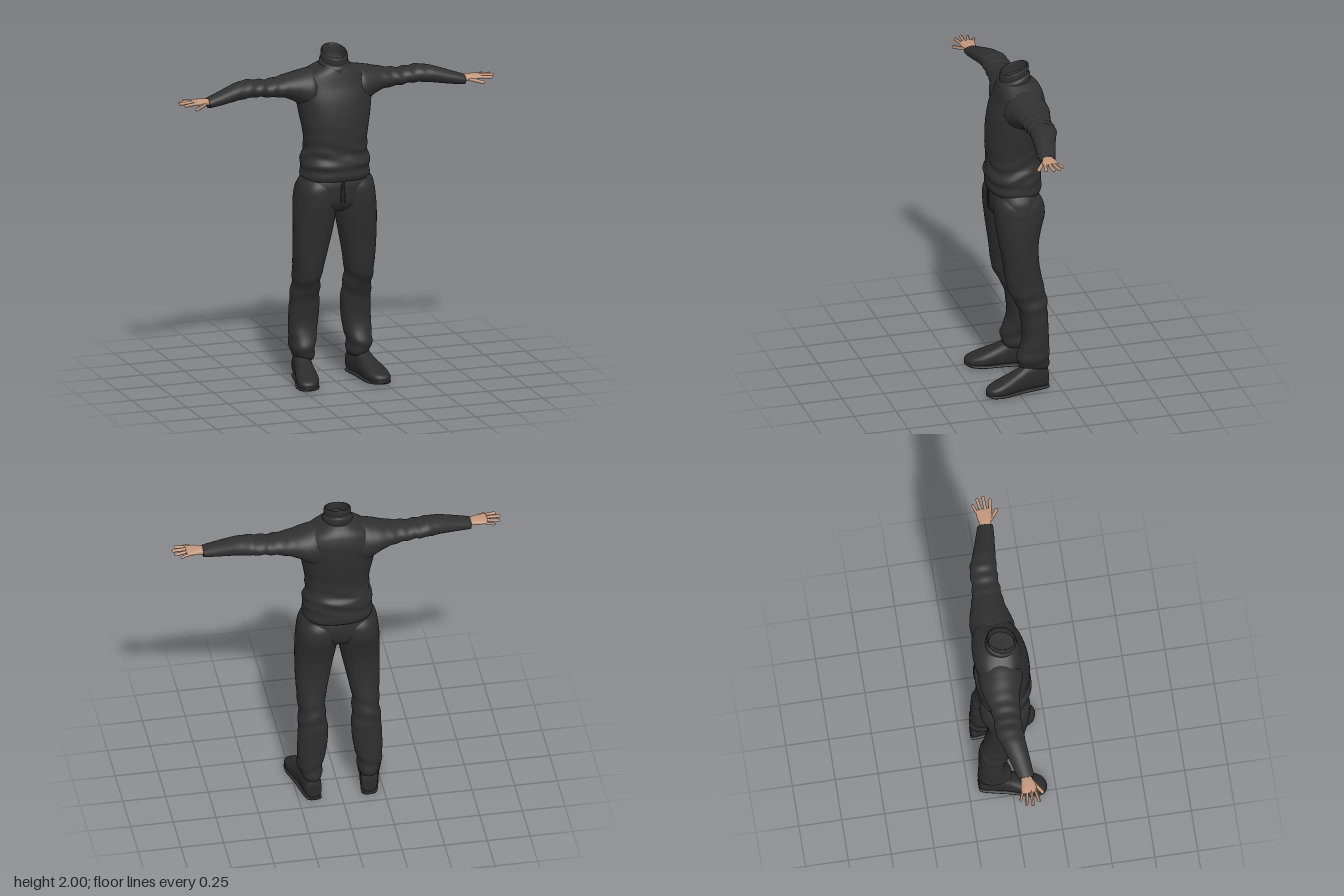
import * as THREE from 'three';

const mat = (name, color) => Object.assign(new THREE.MeshStandardMaterial({ color }), { name });

// smooth interpolation between rows of section numbers
function sample(rows, u) {
  const n = rows.length - 1, i = Math.min(Math.floor(u), n - 1), f = u - i;
  const r = k => rows[Math.max(0, Math.min(n, k))];
  return rows[i].map((_, c) => {
    const [a, b, d, e] = [r(i - 1)[c], r(i)[c], r(i + 1)[c], r(i + 2)[c]];
    return b + 0.5 * f * (d - a + f * (2 * a - 5 * b + 4 * d - e + f * (3 * (b - d) + e - a)));
  });
}

// Skin rows of [position, aMin, aMax, bMin, bMax] along an axis.
// Cross-section axes (a, b): y -> (x, z), x -> (z, y), z -> (y, x)
function loft(rows, axis, { power = 2, steps = 6, seg = 40, fold = () => 0, bend = null, caps = true } = {}) {
  const pos = [], idx = [], count = (rows.length - 1) * steps;
  const order = { y: (t, a, b) => [a, t, b], x: (t, a, b) => [t, b, a], z: (t, a, b) => [b, a, t] }[axis];
  const put = (t, a, b) => {
    const p = new THREE.Vector3(...order(t, a, b));
    if (bend) bend(p);
    pos.push(p.x, p.y, p.z);
  };
  const curve = v => Math.sign(v) * Math.abs(v) ** (2 / power);
  for (let i = 0; i <= count; i++) {
    const [t, a0, a1, b0, b1] = sample(rows, i / steps);
    for (let j = 0; j < seg; j++) {
      const q = j / seg * Math.PI * 2, w = fold(t, q);
      put(t, (a0 + a1) / 2 + ((a1 - a0) / 2 + w) * curve(Math.cos(q)),
        (b0 + b1) / 2 + ((b1 - b0) / 2 + w) * curve(Math.sin(q)));
    }
  }
  for (let i = 0; i < count; i++) for (let j = 0; j < seg; j++) {
    const a = i * seg + j, b = i * seg + (j + 1) % seg;
    idx.push(a, a + seg, b, b, a + seg, b + seg);
  }
  if (caps) [0, count].forEach(i => {
    const [t, a0, a1, b0, b1] = rows[i ? rows.length - 1 : 0], c = pos.length / 3;
    put(t, (a0 + a1) / 2, (b0 + b1) / 2);
    for (let j = 0; j < seg; j++) {
      const a = i * seg + j, b = i * seg + (j + 1) % seg;
      idx.push(c, ...(i ? [b, a] : [a, b]));
    }
  });
  const g = new THREE.BufferGeometry();
  g.setAttribute('position', new THREE.Float32BufferAttribute(pos, 3));
  g.setIndex(idx);
  g.computeVertexNormals();
  return g;
}

// mirrored copy across x = 0 with the corner order restored
function mirror(geo) {
  const g = geo.clone().scale(-1, 1, 1), ix = g.index.array;
  for (let i = 0; i < ix.length; i += 3) [ix[i], ix[i + 1]] = [ix[i + 1], ix[i]];
  g.computeVertexNormals();
  return g;
}

// rounded finger between two points
function finger(from, to, r) {
  const a = new THREE.Vector3(...from), b = new THREE.Vector3(...to), d = b.clone().sub(a);
  const g = new THREE.CapsuleGeometry(r, d.length() - r, 5, 10);
  g.applyQuaternion(new THREE.Quaternion().setFromUnitVectors(new THREE.Vector3(0, 1, 0), d.normalize()));
  return g.translate(...a.add(b).multiplyScalar(0.5).toArray());
}

export function createModel() {
  const model = new THREE.Group();
  const knit = mat('sweater black', 0x303030), cloth = mat('trouser black', 0x2e2e2e);
  const leather = mat('shoe black', 0x2b2b2b), skin = mat('skin', 0xc2977d);
  const add = (name, geo, material) => {
    const m = new THREE.Mesh(geo, material);
    m.name = name;
    model.add(m);
  };
  const pair = (name, geo, material) => {
    add('left' + name, geo, material);
    add('right' + name, mirror(geo), material);
  };

  // sweater body with hem band and waist folds
  add('sweaterBody', loft([
    [1.225, -0.2, 0.2, -0.175, 0.125], [1.25, -0.204, 0.204, -0.182, 0.134],
    [1.285, -0.2, 0.2, -0.18, 0.132], [1.32, -0.204, 0.204, -0.178, 0.14],
    [1.37, -0.194, 0.194, -0.182, 0.125], [1.41, -0.185, 0.185, -0.162, 0.127],
    [1.5, -0.19, 0.19, -0.162, 0.132], [1.6, -0.208, 0.208, -0.18, 0.127],
    [1.7, -0.222, 0.222, -0.194, 0.11], [1.78, -0.22, 0.22, -0.2, 0.085],
    [1.84, -0.185, 0.185, -0.186, 0.07], [1.875, -0.125, 0.125, -0.165, 0.06],
    [1.9, -0.08, 0.08, -0.135, 0.045],
  ], 'y', {
    power: 2.3, seg: 56,
    fold: (t, q) => 0.004 * Math.exp(-(((t - 1.38) / 0.09) ** 2)) * Math.sin(75 * t + 3 * Math.sin(2 * q)),
  }), knit);

  // rolled collar, open at the top and tilted forward
  add('collar', loft([
    [1.86, -0.082, 0.082, -0.125, 0.06], [1.885, -0.088, 0.088, -0.127, 0.065],
    [1.91, -0.086, 0.086, -0.124, 0.062], [1.921, -0.077, 0.077, -0.115, 0.053],
    [1.94, -0.079, 0.079, -0.118, 0.056], [1.962, -0.077, 0.077, -0.117, 0.056],
    [1.969, -0.072, 0.072, -0.112, 0.051], [1.962, -0.066, 0.066, -0.106, 0.045],
    [1.91, -0.063, 0.063, -0.102, 0.042],
  ], 'y', { bend: p => { p.y -= 0.33 * (p.z + 0.03); } }), knit);

  // sleeves, from shoulder to cuff
  pair('Sleeve', loft([
    [0.09, -0.175, 0.05, 1.6, 1.875], [0.15, -0.188, 0.07, 1.62, 1.872],
    [0.2, -0.186, 0.06, 1.655, 1.862], [0.25, -0.176, 0.042, 1.69, 1.85],
    [0.31, -0.16, 0.028, 1.712, 1.836], [0.39, -0.142, 0.02, 1.722, 1.825],
    [0.46, -0.14, 0.018, 1.73, 1.828], [0.52, -0.136, 0.02, 1.73, 1.834],
    [0.6, -0.108, 0.026, 1.724, 1.824], [0.7, -0.076, 0.036, 1.712, 1.792],
    [0.775, -0.054, 0.04, 1.705, 1.767], [0.785, -0.048, 0.034, 1.711, 1.762],
  ], 'x', {
    fold: (t, q) => 0.0035 * Math.exp(-(((t - 0.42) / 0.13) ** 2)) * Math.sin(85 * t + 2 * Math.sin(q)),
  }), knit);

  // trouser seat
  add('trouserSeat', loft([
    [1.035, -0.14, 0.14, -0.09, 0.06], [1.06, -0.215, 0.215, -0.135, 0.095],
    [1.1, -0.239, 0.239, -0.16, 0.115], [1.15, -0.235, 0.235, -0.17, 0.121],
    [1.2, -0.225, 0.225, -0.165, 0.122], [1.25, -0.195, 0.195, -0.15, 0.11],
  ], 'y', { power: 2.3 }), cloth);

  // trouser legs
  pair('TrouserLeg', loft([
    [0.13, 0.112, 0.212, -0.186, -0.03], [0.16, 0.106, 0.232, -0.192, -0.008],
    [0.22, 0.1, 0.246, -0.19, -0.004], [0.32, 0.08, 0.248, -0.188, -0.035],
    [0.42, 0.07, 0.245, -0.186, -0.032], [0.52, 0.074, 0.24, -0.182, -0.01],
    [0.6, 0.082, 0.236, -0.172, 0.035], [0.68, 0.072, 0.24, -0.155, 0.06],
    [0.8, 0.047, 0.246, -0.135, 0.075], [0.92, 0.022, 0.247, -0.135, 0.094],
    [1.02, 0.004, 0.246, -0.155, 0.109], [1.1, -0.004, 0.24, -0.176, 0.118],
    [1.18, 0.0, 0.226, -0.165, 0.116], [1.23, 0.02, 0.19, -0.12, 0.09],
  ], 'y', {
    power: 2.3,
    fold: (t, q) => 0.004 * Math.sin(60 * t + 2 * Math.sin(q + 1)) *
      (Math.exp(-(((t - 0.56) / 0.1) ** 2)) + Math.exp(-(((t - 0.2) / 0.07) ** 2))),
  }), cloth);

  // drawstring hanging from the waist
  [-1, 1].forEach(s => add('drawstring', finger([s * 0.006, 1.225, 0.122], [s * 0.012, 1.1, 0.121], 0.004), cloth));

  // shoes, turned slightly outward towards the toe
  const splay = { power: 2.5, seg: 36, bend: p => { p.x += 0.16 + 0.17 * (p.z + 0.19); } };
  pair('Shoe', loft([
    [-0.188, 0.03, 0.1, -0.025, 0.025], [-0.175, 0.008, 0.14, -0.045, 0.045],
    [-0.12, 0.006, 0.18, -0.053, 0.053], [-0.05, 0.006, 0.165, -0.053, 0.053],
    [0.0, 0.006, 0.138, -0.057, 0.057], [0.06, 0.006, 0.112, -0.065, 0.066],
    [0.12, 0.007, 0.088, -0.067, 0.068], [0.17, 0.01, 0.068, -0.053, 0.053],
    [0.192, 0.018, 0.054, -0.03, 0.03], [0.198, 0.026, 0.044, -0.012, 0.012],
  ], 'z', splay), leather);
  pair('Sole', loft([
    [-0.19, 0.004, 0.022, -0.024, 0.024], [-0.175, 0, 0.024, -0.046, 0.046],
    [-0.08, 0, 0.024, -0.054, 0.054], [0.0, 0, 0.024, -0.058, 0.058],
    [0.1, 0, 0.026, -0.07, 0.071], [0.165, 0.003, 0.03, -0.058, 0.058],
    [0.19, 0.01, 0.034, -0.034, 0.034], [0.2, 0.016, 0.034, -0.012, 0.012],
  ], 'z', splay), leather);

  // hands with palms down
  pair('Palm', loft([
    [0.765, -0.036, 0.026, 1.717, 1.758], [0.795, -0.037, 0.03, 1.724, 1.762],
    [0.83, -0.044, 0.042, 1.728, 1.762], [0.865, -0.047, 0.044, 1.735, 1.76],
    [0.882, -0.042, 0.038, 1.74, 1.757],
  ], 'x', { power: 2.4, seg: 24 }), skin);
  [
    ['Thumb', [0.81, 1.738, 0.028], [0.88, 1.724, 0.078], 0.0105],
    ['IndexFinger', [0.86, 1.748, 0.033], [0.938, 1.744, 0.048], 0.0095],
    ['MiddleFinger', [0.86, 1.75, 0.011], [0.958, 1.748, 0.008], 0.0098],
    ['RingFinger', [0.86, 1.749, -0.013], [0.95, 1.746, -0.029], 0.0092],
    ['LittleFinger', [0.85, 1.747, -0.034], [0.918, 1.744, -0.06], 0.0082],
  ].forEach(([name, from, to, r]) => pair(name, finger(from, to, r), skin));

  return model;
}
